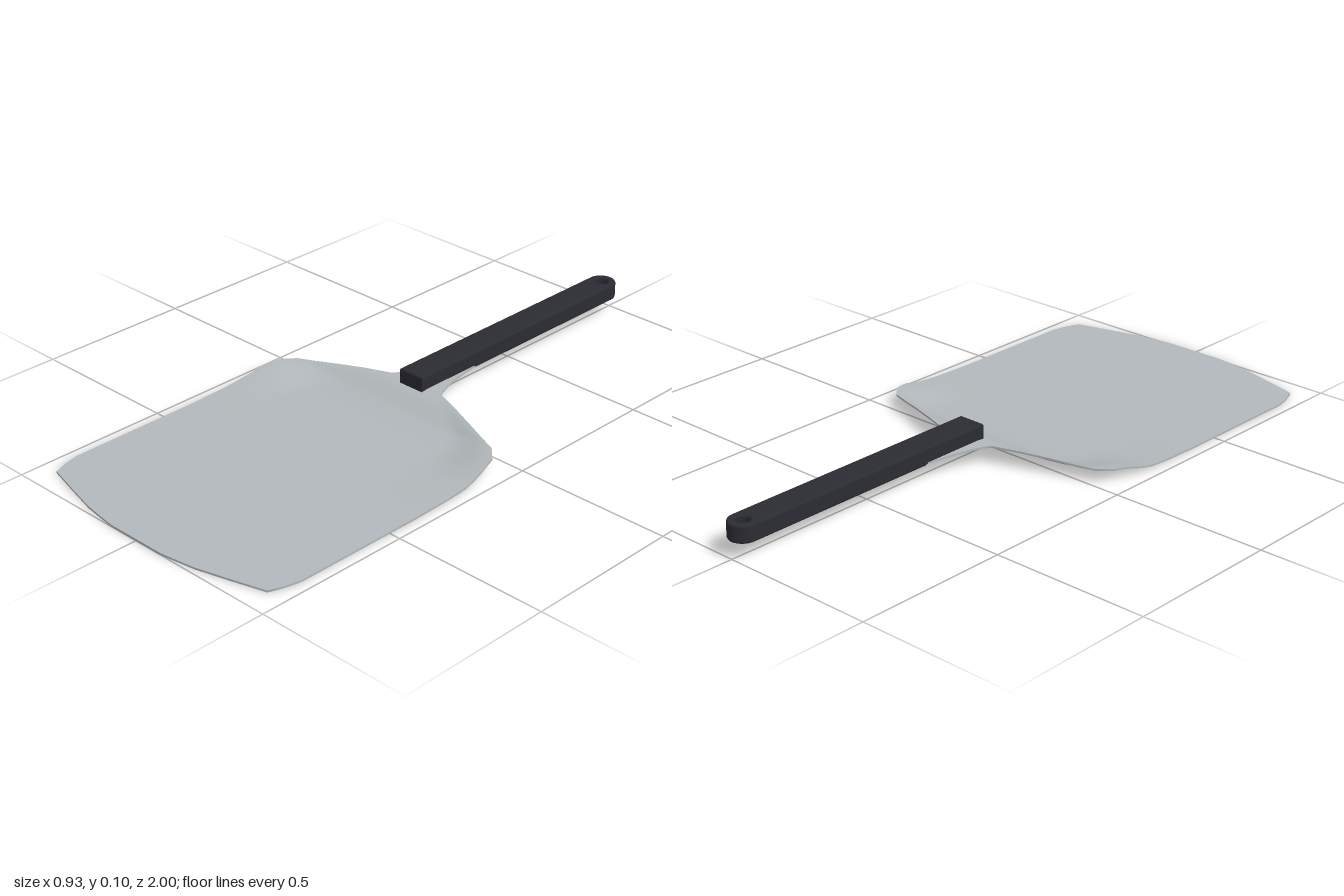
import * as THREE from 'three';

const steel = new THREE.MeshStandardMaterial({ color: 0xb2b8bb });
steel.name = 'brushed steel';
const grip = new THREE.MeshStandardMaterial({ color: 0x2b2b33 });
grip.name = 'dark grip';

// Thin sheet: a box whose rows follow the outline and whose sides curl up at the rear
function makeBlade() {
  const thickness = 0.006, columns = 32;
  // z, half width, height at the middle, height at the edge
  const rows = [
    [-0.32, 0.042, 0.053, 0.053], [-0.26, 0.05, 0.053, 0.053], [-0.2, 0.06, 0.053, 0.053],
    [-0.14, 0.077, 0.053, 0.053], [-0.11, 0.088, 0.053, 0.053], [-0.09, 0.102, 0.053, 0.053],
    [-0.06, 0.185, 0.05, 0.051], [-0.03, 0.265, 0.04, 0.046], [0, 0.347, 0.024, 0.039],
    [0.02, 0.4, 0.017, 0.036], [0.06, 0.438, 0.009, 0.034], [0.09, 0.447, 0.006, 0.032],
    [0.12, 0.455, 0.004, 0.027], [0.16, 0.46, 0.003, 0.016], [0.2, 0.464, 0.002, 0.009],
    [0.26, 0.464, 0.001, 0.004], [0.4, 0.464, 0, 0], [0.6, 0.464, 0, 0], [0.83, 0.464, 0, 0],
    [0.88, 0.453, 0, 0], [0.925, 0.436, 0, 0], [0.955, 0.327, 0, 0], [0.983, 0.22, 0, 0],
    [0.995, 0.14, 0, 0], [1, 0.1, 0, 0],
  ];
  const last = rows.length - 1;
  const geo = new THREE.BoxGeometry(2, thickness, 2, columns, 1, last);
  const p = geo.attributes.position;
  for (let i = 0; i < p.count; i++) {
    const u = p.getX(i);
    const [z, w, mid, edge] = rows[Math.round((p.getZ(i) + 1) / 2 * last)];
    const curl = THREE.MathUtils.smoothstep(Math.abs(u), 0.6, 1);
    const y = THREE.MathUtils.lerp(mid, edge, curl);
    p.setXYZ(i, u * w, y + thickness / 2 + p.getY(i), z);
  }
  geo.computeVertexNormals();
  const mesh = new THREE.Mesh(geo, steel);
  mesh.name = 'blade';
  return mesh;
}

// Flat bar with a rounded rear end and a hanging hole
function makeHandle() {
  const half = 0.045, front = 0.065, bevel = 0.006, bottom = 0.05, height = 0.055;
  const shape = new THREE.Shape();
  shape.moveTo(-half, front);
  shape.lineTo(half, front);
  shape.absarc(0, 1 - half, half, 0, Math.PI, false);
  shape.closePath();
  const hole = new THREE.Path();
  hole.absarc(0, 1 - half, 0.021, 0, Math.PI * 2, true);
  shape.holes.push(hole);
  const geo = new THREE.ExtrudeGeometry(shape, {
    depth: height - 2 * bevel, curveSegments: 16, bevelEnabled: true,
    bevelThickness: bevel, bevelSize: bevel, bevelOffset: -bevel, bevelSegments: 2,
  });
  geo.rotateX(-Math.PI / 2);
  geo.translate(0, bottom + bevel, 0);
  const mesh = new THREE.Mesh(geo, grip);
  mesh.name = 'handle';
  return mesh;
}

export function createModel() {
  const group = new THREE.Group();
  group.name = 'servingPeel';
  group.add(makeBlade(), makeHandle());
  return group;
}
